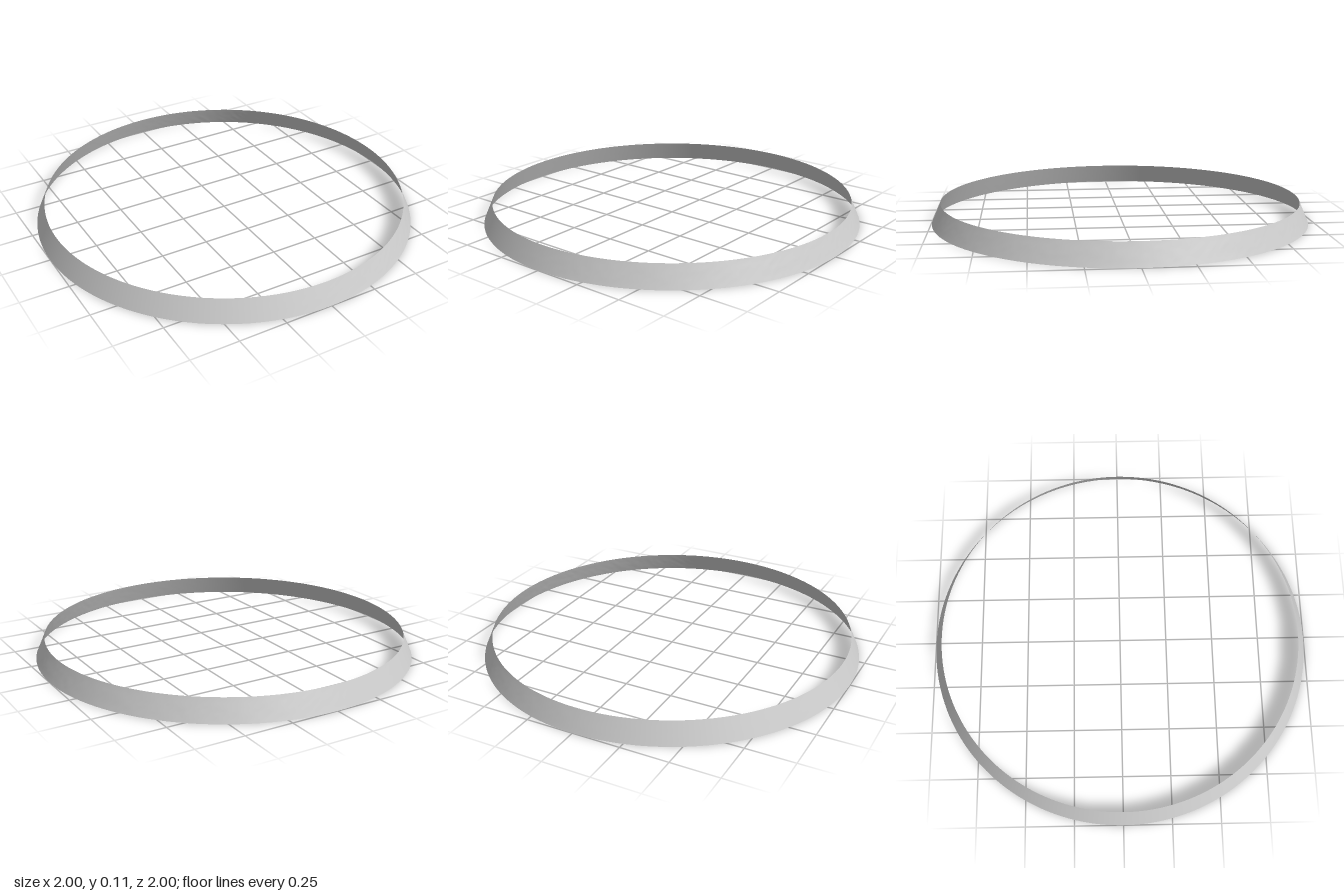
import * as THREE from 'three';
import { mergeVertices } from 'three/addons/utils/BufferGeometryUtils.js';

const BOTTOM_RADIUS = 1, TOP_RADIUS = 0.952, HEIGHT = 0.11;

// Repeatable value in 0..1 for a surface point
function hash(a, b) {
  const s = Math.sin(a * 127.1 + b * 311.7) * 43758.5453;
  return s - Math.floor(s);
}

export function createModel() {
  const group = new THREE.Group();
  group.name = 'taperedRing';

  // Thin open band, narrower at the top
  let geometry = new THREE.CylinderGeometry(TOP_RADIUS, BOTTOM_RADIUS, HEIGHT, 360, 8, true);
  geometry.translate(0, HEIGHT / 2, 0);
  geometry.deleteAttribute('uv');
  geometry.deleteAttribute('normal');
  geometry = mergeVertices(geometry, 1e-5);

  // Faint pitting, stronger towards +x, with clean rims
  const p = geometry.attributes.position;
  for (let i = 0; i < p.count; i++) {
    const x = p.getX(i), y = p.getY(i), z = p.getZ(i);
    if (y < 0.001 || y > HEIGHT - 0.001) continue;
    const angle = Math.round(Math.atan2(z, x) * 180 / Math.PI);
    const strength = 0.0001 + 0.0009 * THREE.MathUtils.smoothstep(x, -0.5, 0.6);
    const scale = 1 - strength * hash(angle, Math.round(y * 100)) ** 2;
    p.setXYZ(i, x * scale, y, z * scale);
  }
  geometry.computeVertexNormals();

  const band = new THREE.Mesh(geometry, new THREE.MeshStandardMaterial({ color: 0xcccccc, side: THREE.DoubleSide }));
  band.name = 'band';
  group.add(band);
  return group;
}
